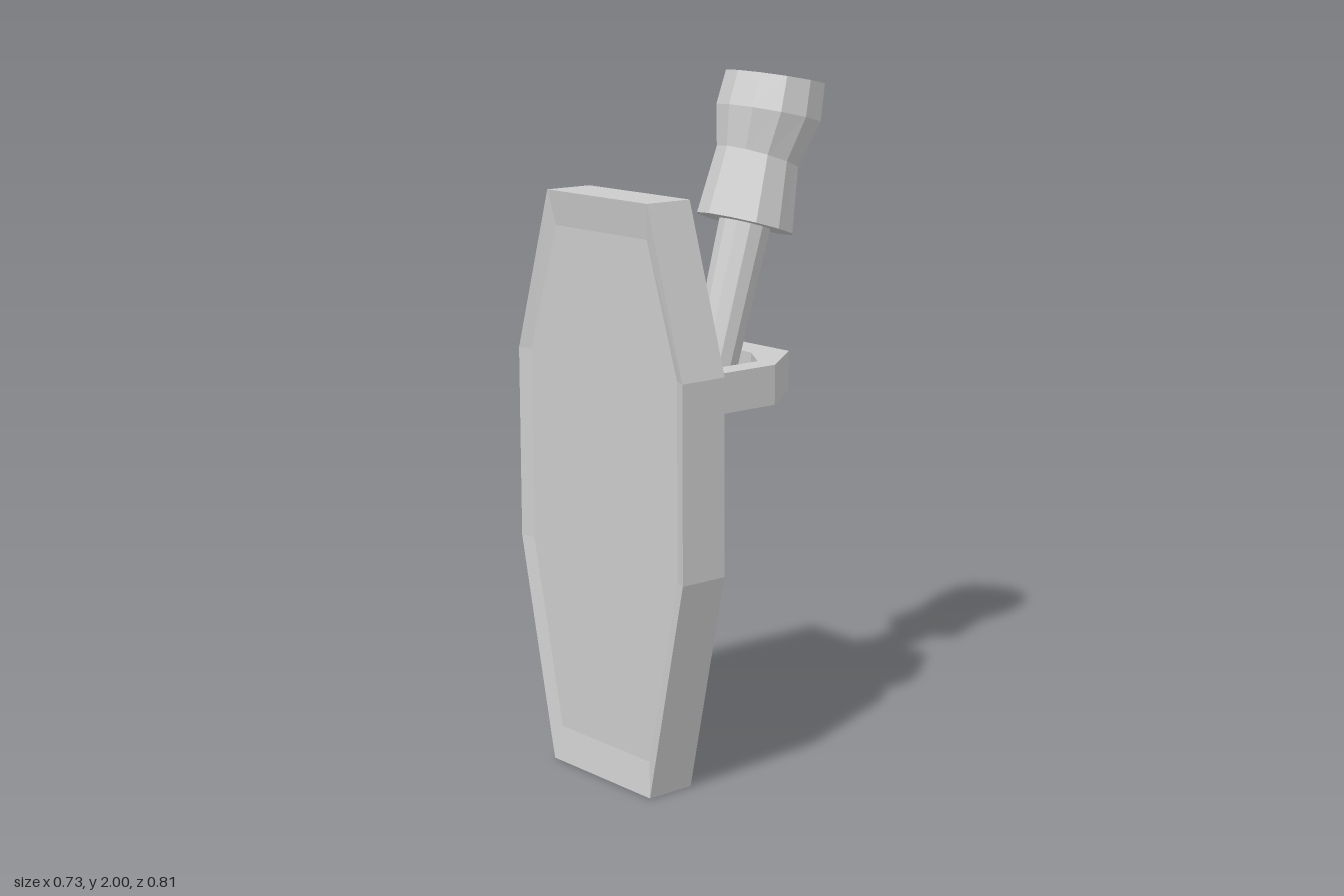
import * as THREE from 'three';

const material = new THREE.MeshStandardMaterial({ color: 0xcccccc, flatShading: true });

// Skin a list of equal-sized rings and cap both ends with a fan.
function loft(name, rings) {
  const pos = [];
  const tri = (...pts) => pts.forEach((p) => pos.push(p.x, p.y, p.z));
  const n = rings[0].length;
  const centre = (ring) => ring.reduce((s, p) => s.add(p), new THREE.Vector3()).divideScalar(n);
  const first = rings[0], last = rings[rings.length - 1];
  const c0 = centre(first), c1 = centre(last);
  for (let j = 0; j < n; j++) {
    const k = (j + 1) % n;
    for (let i = 0; i + 1 < rings.length; i++) {
      const a = rings[i], b = rings[i + 1];
      tri(a[j], a[k], b[k]);
      tri(a[j], b[k], b[j]);
    }
    tri(c0, first[k], first[j]);
    tri(c1, last[j], last[k]);
  }
  const geometry = new THREE.BufferGeometry();
  geometry.setAttribute('position', new THREE.Float32BufferAttribute(pos, 3));
  geometry.computeVertexNormals();
  const mesh = new THREE.Mesh(geometry, material);
  mesh.name = name;
  return mesh;
}

// Eight-cornered plate outline, mirrored left to right.
function plateRing(z, endX, sideX, inset) {
  const half = [[endX, inset], [sideX, 0.65], [sideX, 1.21], [endX, 1.68 - inset]];
  const mirrored = half.map(([x, y]) => [-x, y]).reverse();
  return [...half, ...mirrored].map(([x, y]) => new THREE.Vector3(x, y, z));
}

// Twelve-sided ring around the leaning torch axis.
function torchRing(y, z, r, tiltDegrees) {
  const t = THREE.MathUtils.degToRad(tiltDegrees);
  return Array.from({ length: 12 }, (_, i) => {
    const a = (i / 12) * Math.PI * 2;
    const d = r * Math.cos(a);
    return new THREE.Vector3(r * Math.sin(a), y + d * Math.sin(t), z + d * Math.cos(t));
  });
}

export function createModel() {
  const group = new THREE.Group();
  group.name = 'wallTorch';

  // Wall plate: recessed panel at the back, slightly dished front
  group.add(loft('wallPlate', [
    plateRing(0.29, 0.185, 0.295, 0.11),
    plateRing(0.255, 0.185, 0.295, 0.11),
    plateRing(0.255, 0.22, 0.365, 0),
    plateRing(0.405, 0.22, 0.365, 0),
    plateRing(0.39, 0.2, 0.325, 0.1),
  ]));

  // Holder: angular loop around the handle, set slightly off centre
  const half = [[0.245, 0.295], [0.245, -0.025], [0.113, -0.2]];
  const inner = [[0.06, -0.1], [0.173, -0.025], [0.173, 0.295]];
  const flip = (pts) => pts.map(([x, z]) => [-x, z]).reverse();
  const outline = [...half, ...flip(half), ...flip(inner).slice(0, 3), ...inner];
  const shape = new THREE.Shape(outline.map(([x, z]) => new THREE.Vector2(x + 0.015, -z)));
  const holder = new THREE.Mesh(
    new THREE.ExtrudeGeometry(shape, { depth: 0.115, bevelEnabled: false }), material);
  holder.rotation.x = -Math.PI / 2;
  holder.position.y = 1.08;
  holder.name = 'holder';
  group.add(holder);

  // Torch: tapered handle and flared head
  const torch = new THREE.Group();
  torch.name = 'torch';
  torch.add(loft('handle', [
    torchRing(0.198, 0.258, 0.05, 16),
    torchRing(1.6, -0.154, 0.078, 16),
  ]));
  torch.add(loft('torchHead', [
    torchRing(1.558, -0.142, 0.145, 17),
    torchRing(1.745, -0.19, 0.125, 20),
    torchRing(1.87, -0.233, 0.157, 13),
    torchRing(1.973, -0.259, 0.148, 10.7),
  ]));
  group.add(torch);

  return group;
}
